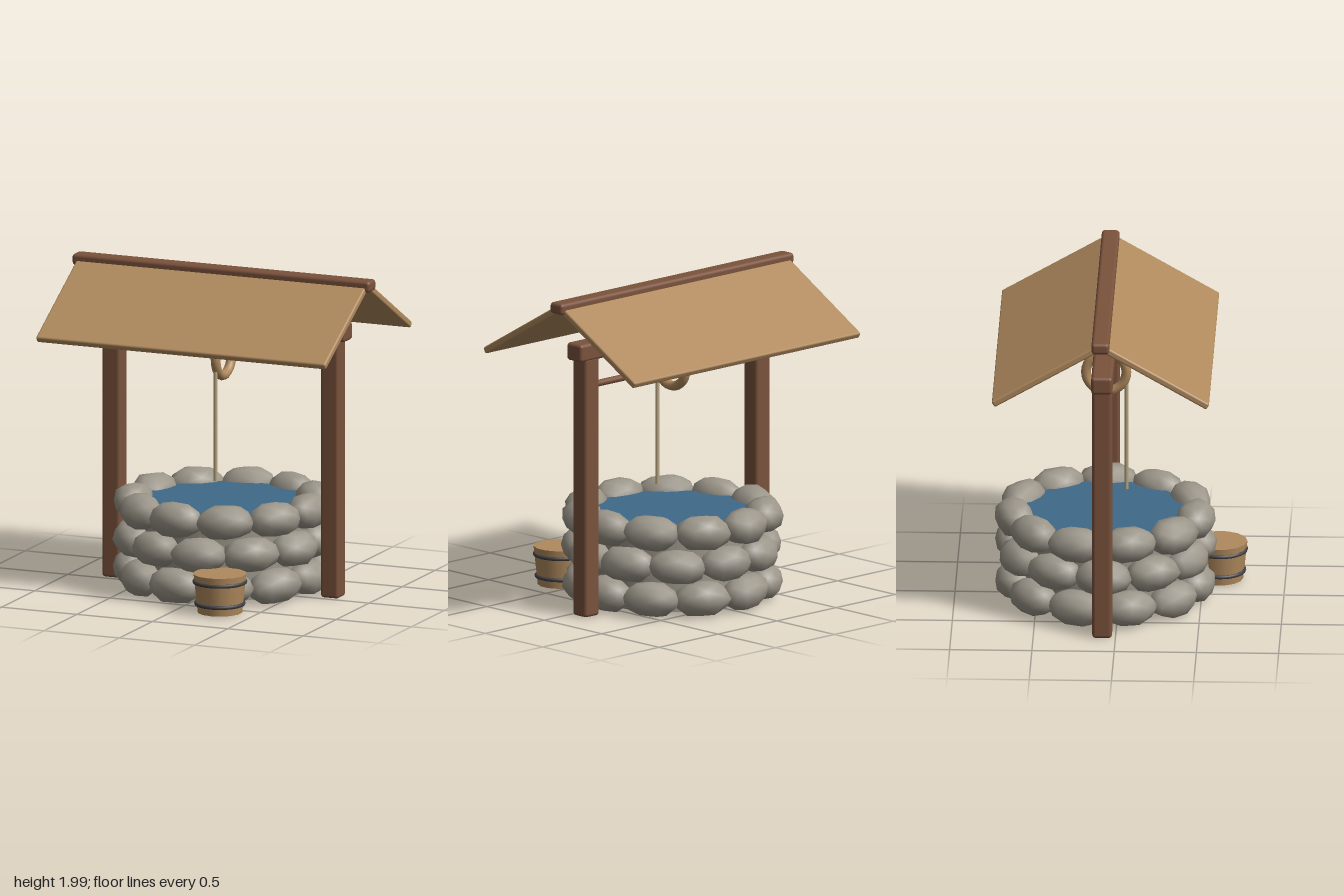
import * as THREE from 'three';
import { mergeVertices } from 'three/addons/utils/BufferGeometryUtils.js';
import { RoundedBoxGeometry } from 'three/addons/geometries/RoundedBoxGeometry.js';

const material = (name, color) => {
  const m = new THREE.MeshStandardMaterial({ color });
  m.name = name;
  return m;
};

// Small seeded generator for the stone irregularities
function seeded(seed) {
  return () => {
    seed = (seed * 16807) % 2147483647;
    return seed / 2147483647;
  };
}

// Smooth low-poly boulder with slightly uneven corners
function stoneGeometry(rand) {
  let geo = new THREE.IcosahedronGeometry(1, 1);
  geo.deleteAttribute('normal');
  geo.deleteAttribute('uv');
  geo = mergeVertices(geo, 1e-3);
  const p = geo.attributes.position;
  for (let i = 0; i < p.count; i++) {
    const k = 0.96 + rand() * 0.12;
    p.setXYZ(i, p.getX(i) * k, THREE.MathUtils.clamp(p.getY(i) * k, -0.97, 0.97), p.getZ(i) * k);
  }
  geo.scale(0.175, 0.111, 0.12);
  geo.computeVertexNormals();
  return geo;
}

export function createModel() {
  const model = new THREE.Group();
  model.name = 'waterWell';
  const Z = -0.085; // depth of the well axis

  const darkWood = material('darkWood', 0x7a523c);
  const lightWood = material('lightWood', 0xb08a5e);
  const stone = material('stone', 0x9c968a);
  const water = material('water', 0x3f6a8a);
  const rope = material('rope', 0xb8a882);
  const iron = material('iron', 0x404044);

  const add = (name, geo, mat, x, y, z, parent = model) => {
    const mesh = new THREE.Mesh(geo, mat);
    mesh.name = name;
    mesh.position.set(x, y, z);
    parent.add(mesh);
    return mesh;
  };

  // Stone wall: three staggered rings of boulders
  const wall = new THREE.Group();
  wall.name = 'stoneWall';
  model.add(wall);
  const rand = seeded(77);
  const count = 11;
  for (let row = 0; row < 3; row++) {
    for (let i = 0; i < count; i++) {
      const a = ((i + (row % 2) / 2) / count) * Math.PI * 2;
      const s = add('wallStone', stoneGeometry(rand), stone,
        Math.cos(a) * 0.557, 0.118 + row * 0.205, Z + Math.sin(a) * 0.557, wall);
      s.rotation.set(0, Math.PI / 2 - a + (rand() - 0.5) * 0.1, (rand() - 0.5) * 0.08, 'YXZ');
    }
  }
  add('wallCore', new THREE.CylinderGeometry(0.51, 0.51, 0.5, 32), stone, 0, 0.28, Z, wall);
  add('waterSurface', new THREE.CylinderGeometry(0.49, 0.49, 0.02, 32), water, 0, 0.545, Z);

  // Posts and cross beam
  for (const side of [-1, 1]) {
    add(side > 0 ? 'leftPost' : 'rightPost',
      new RoundedBoxGeometry(0.12, 1.62, 0.12, 2, 0.02), darkWood, side * 0.725, 0.82, Z + 0.004);
  }
  add('crossBeam', new RoundedBoxGeometry(1.66, 0.11, 0.13, 2, 0.02), darkWood, 0, 1.665, Z + 0.004);

  // Roof: two sloping panels under a ridge beam
  const slope = Math.PI / 6, len = 0.755;
  for (const side of [-1, 1]) {
    const panel = add(side > 0 ? 'frontRoofPanel' : 'backRoofPanel',
      new RoundedBoxGeometry(1.92, 0.042, len, 2, 0.012), lightWood,
      0, 1.966 - Math.sin(slope) * len / 2, Z + side * Math.cos(slope) * len / 2);
    panel.rotation.x = side * slope;
  }
  add('ridgeBeam', new RoundedBoxGeometry(1.975, 0.07, 0.108, 2, 0.02), darkWood, 0, 1.965, Z);

  // Axle, pulley wheel and rope
  add('axle', new THREE.CylinderGeometry(0.021, 0.021, 1.45, 12), darkWood, 0, 1.443, Z)
    .rotation.z = Math.PI / 2;
  add('pulleyWheel', new THREE.TorusGeometry(0.123, 0.03, 10, 28), lightWood, 0, 1.447, Z + 0.004)
    .rotation.y = Math.PI / 2;
  add('rope', new THREE.CylinderGeometry(0.012, 0.012, 0.68, 8), rope, 0, 1.03, 0.043);

  // Bucket with two iron hoops
  const bucket = new THREE.Group();
  bucket.name = 'bucket';
  bucket.position.set(0.275, 0, 0.605);
  model.add(bucket);
  add('bucketBody', new THREE.CylinderGeometry(0.164, 0.138, 0.24, 14), lightWood, 0, 0.135, 0, bucket);
  for (const [y, r] of [[0.205, 0.156], [0.07, 0.145]]) {
    add('bucketHoop', new THREE.TorusGeometry(r, 0.012, 8, 28), iron, 0, y, 0, bucket)
      .rotation.x = Math.PI / 2;
  }
  return model;
}
